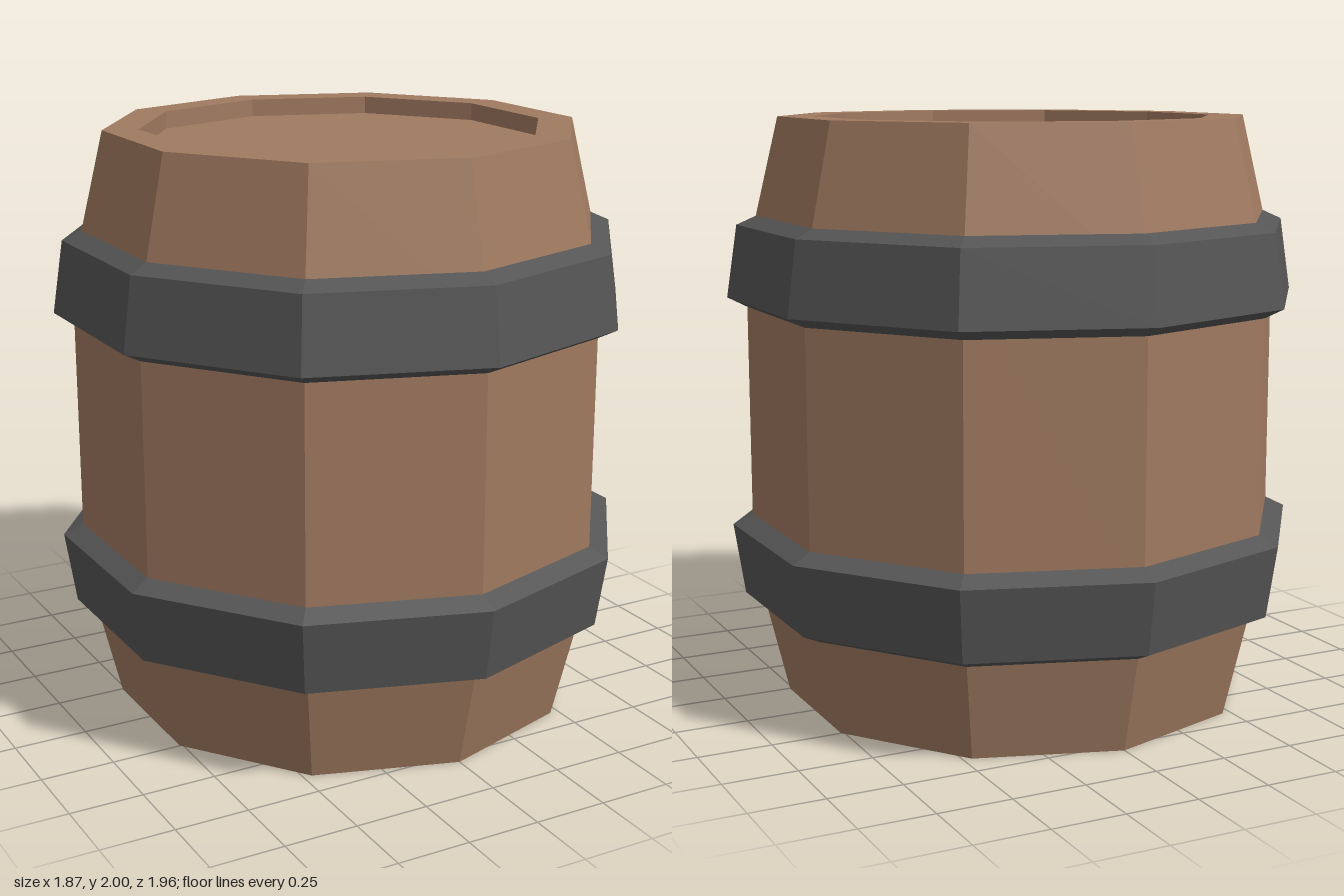
import * as THREE from 'three';

const SIDES = 10;

// Faceted ring of revolution from [radius, y] points, with a corner facing +z
function turned(name, profile, material) {
  const points = profile.map(([r, y]) => new THREE.Vector2(r, y));
  const mesh = new THREE.Mesh(new THREE.LatheGeometry(points, SIDES), material);
  mesh.name = name;
  return mesh;
}

// Mirror a profile about mid-height, keeping the bottom-to-top order
const flip = (profile) => profile.map(([r, y]) => [r, 2 - y]).reverse();

export function createModel() {
  const group = new THREE.Group();
  group.name = 'barrel';
  const wood = new THREE.MeshStandardMaterial({ color: 0xa07a60, flatShading: true });
  const iron = new THREE.MeshStandardMaterial({ color: 0x555555, flatShading: true });

  // Staves with a rim and a recessed lid at each end
  const lowerHalf = [[0, 0.06], [0.68, 0.06], [0.68, 0], [0.8, 0], [0.915, 0.48]];
  group.add(turned('staves', [...lowerHalf, ...flip(lowerHalf)], wood));

  // Bevelled hoops, wider towards the middle, closed against the staves
  const hoop = [[0.878, 0.33], [0.945, 0.36], [0.982, 0.605], [0.912, 0.64]];
  group.add(turned('lowerHoop', hoop, iron));
  group.add(turned('upperHoop', flip(hoop), iron));

  return group;
}
